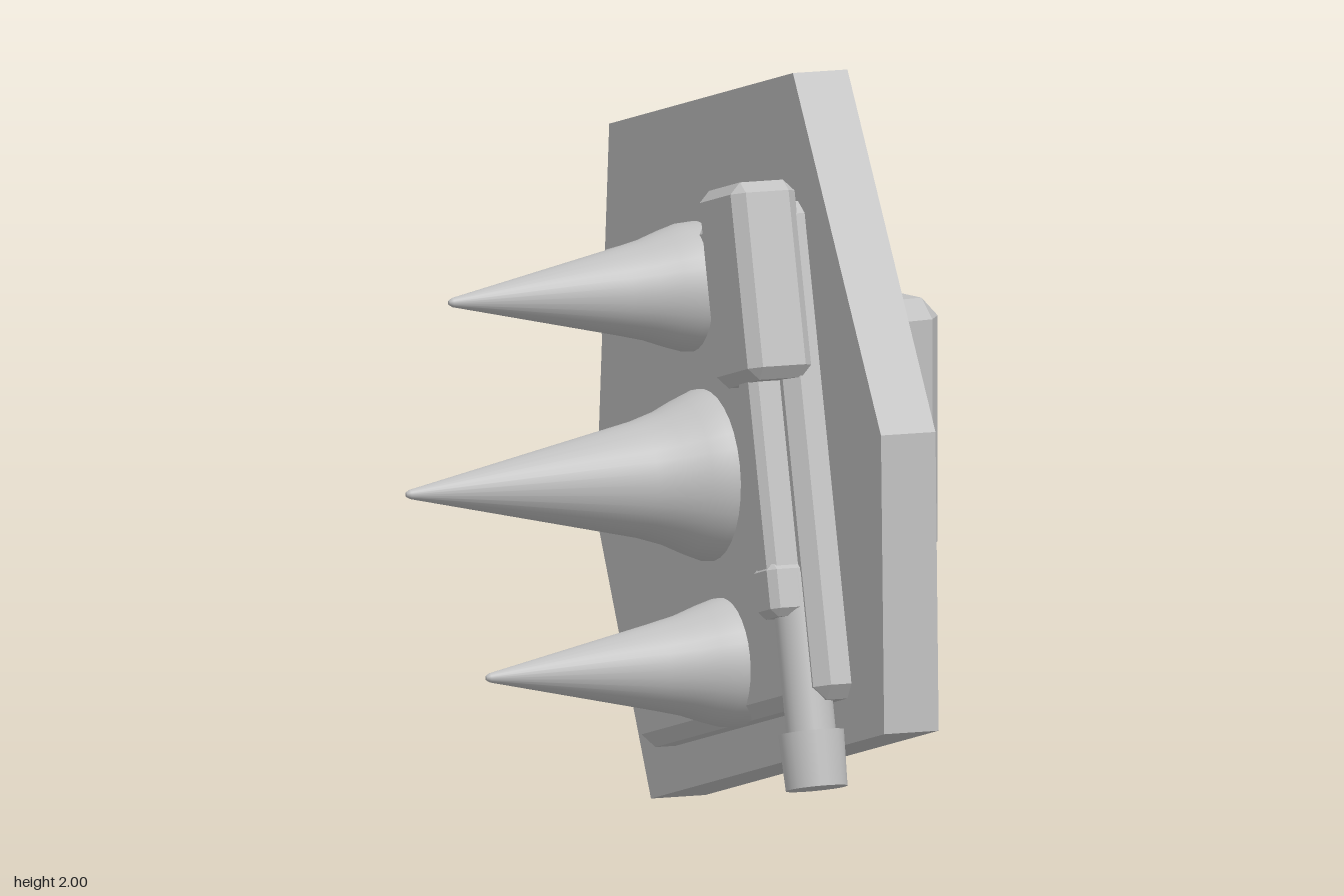
import * as THREE from 'three';
import { ConvexGeometry } from 'three/addons/geometries/ConvexGeometry.js';

// Box with chamfered edges, given full sizes and chamfer
function chamferBox(w, h, d, c) {
  const points = [];
  const half = [w / 2, h / 2, d / 2];
  for (const sx of [-1, 1]) for (const sy of [-1, 1]) for (const sz of [-1, 1]) {
    for (let full = 0; full < 3; full++) {
      const p = half.map((v, i) => (i === full ? v : v - c));
      points.push(new THREE.Vector3(p[0] * sx, p[1] * sy, p[2] * sz));
    }
  }
  return new ConvexGeometry(points);
}

export function createModel() {
  const grey = new THREE.MeshStandardMaterial({ color: 0xc0c0c0 });
  grey.name = 'plain grey';
  const model = new THREE.Group();
  model.name = 'spikedShield';

  const add = (parent, name, geometry, x, y, z) => {
    const mesh = new THREE.Mesh(geometry, grey);
    mesh.name = name;
    mesh.position.set(x, y, z);
    parent.add(mesh);
    return mesh;
  };

  // Everything but the arm block shares the tilt of the shield
  const shield = new THREE.Group();
  shield.name = 'shield';
  shield.rotation.set(THREE.MathUtils.degToRad(-14), THREE.MathUtils.degToRad(-10), 0, 'YXZ');
  model.add(shield);
  const mid = 0.159;

  // Six-sided plate, symmetric about its middle line
  const right = [[0.754, 0.15], [0.921, 0.903], [0.594, 1.875]];
  const left = right.map(([z, y]) => [-z, y]).reverse();
  const outline = new THREE.Shape([...right, ...left].map(([z, y]) => new THREE.Vector2(z, y)));
  const plateGeometry = new THREE.ExtrudeGeometry(outline, { depth: 0.153, bevelEnabled: false });
  plateGeometry.rotateY(-Math.PI / 2);
  add(shield, 'plate', plateGeometry, 0.363, 0, mid);

  // Raised panel on the spiked side
  add(shield, 'panel', chamferBox(0.15, 1.285, 1.18, 0.035), 0.193, 0.908, mid - 0.01);

  // Three spikes with flared feet: centre height, tip and foot radius scale
  const spikes = [
    ['upperSpike', 1.393, 0.55, 0.75],
    ['middleSpike', 0.908, 0.722, 1],
    ['lowerSpike', 0.424, 0.55, 0.75],
  ];
  for (const [name, y, tip, k] of spikes) {
    const profile = [
      [0.225 * k, -0.15], [0.22 * k, -0.1], [0.2 * k, -0.05], [0.172 * k, 0.01],
      [0.15 * k, 0.08], [0.012, tip - 0.01], [0.006, tip], [0, tip],
    ].map(([r, h]) => new THREE.Vector2(r, h));
    const spike = add(shield, name, new THREE.LatheGeometry(profile, 32), 0, y, mid);
    spike.rotation.z = Math.PI / 2;
  }

  // Bar along one edge: head block, grip, collar, rod and end cap
  const barZ = 0.635;
  add(shield, 'barHead', chamferBox(0.18, 0.51, 0.26, 0.03), 0.1, 1.35, barZ);
  add(shield, 'barGrip', chamferBox(0.16, 0.64, 0.1, 0.02), 0.118, 0.82, barZ);
  add(shield, 'barCollar', chamferBox(0.17, 0.14, 0.12, 0.02), 0.118, 0.56, barZ);
  add(shield, 'barRod', new THREE.CylinderGeometry(0.064, 0.064, 0.5, 24), 0.13, 0.35, barZ);
  add(shield, 'barCap', new THREE.CylinderGeometry(0.085, 0.08, 0.145, 24), 0.13, 0.118, barZ);

  // Upright arm block on the other side
  add(model, 'armBlock', chamferBox(0.285, 0.685, 0.57, 0.05), 0.548, 1.022, -0.05);

  return model;
}
